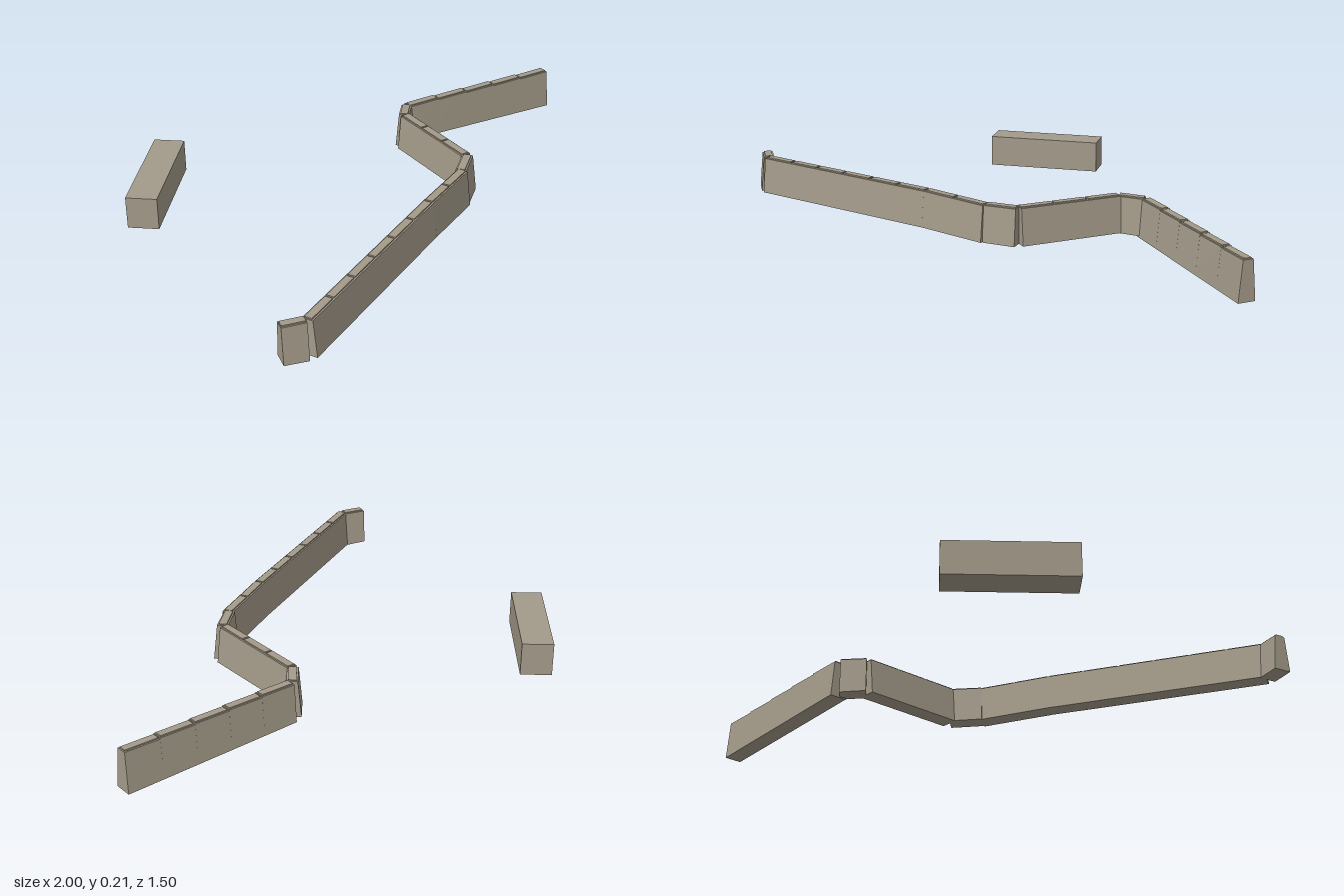
import * as THREE from 'three';

const stone = new THREE.MeshStandardMaterial({ color: 0xa39a89 });
stone.name = 'weathered stone';

// Prism between two plan points a and b, each [x, z, bottomY, topY],
// with a wide foot and a narrower head.
function prism(name, a, b, footWidth, headWidth) {
  const geometry = new THREE.BoxGeometry(1, 1, 1);
  const p = geometry.attributes.position;
  const dx = b[0] - a[0], dz = b[1] - a[1], length = Math.hypot(dx, dz);
  for (let i = 0; i < p.count; i++) {
    const t = p.getX(i) + 0.5, top = p.getY(i) > 0;
    const across = p.getZ(i) * (top ? headWidth : footWidth);
    const k = top ? 3 : 2;
    p.setXYZ(i,
      a[0] + dx * t - (dz / length) * across,
      a[k] + (b[k] - a[k]) * t,
      a[1] + dz * t + (dx / length) * across);
  }
  geometry.computeVertexNormals();
  const mesh = new THREE.Mesh(geometry, stone);
  mesh.name = name;
  return mesh;
}

const mix = (a, b, t) => a.map((v, i) => v + (b[i] - v) * t);
const CAP = 0.005;

// A run of battered wall sections, each with a narrow coping stone on top.
function wallRun(name, a, b, count, step = 0) {
  const run = new THREE.Group();
  run.name = name;
  for (let i = 0; i < count; i++) {
    const s = mix(a, b, i / count), e = mix(a, b, (i + 1) / count);
    // Stepped sections sit a little proud of the section downhill
    e[3] += step;
    const bodyStart = [s[0], s[1], s[2], s[3] - CAP];
    const bodyEnd = [e[0], e[1], e[2], e[3] - CAP];
    run.add(prism('wallSection', bodyStart, bodyEnd, 0.07, 0.042));
    const raise = (q) => [q[0], q[1], q[3] - CAP, q[3]];
    run.add(prism('copingStone', raise(mix(s, e, 0.03)), raise(mix(s, e, 0.97)), 0.03, 0.03));
  }
  return run;
}

export function createModel() {
  const model = new THREE.Group();
  model.name = 'stoneWall';

  // Wall from the front end round to the lower far end
  model.add(wallRun('endReturn', [-0.948, 0.695, 0.055, 0.2], [-0.86, 0.714, 0.052, 0.2], 1));
  model.add(wallRun('longWallOuter', [-0.855, 0.717, 0.053, 0.2], [-0.105, 0.308, 0.061, 0.207], 6));
  model.add(wallRun('longWallInner', [-0.105, 0.308, 0.061, 0.207], [0.145, 0.17, 0.054, 0.2], 2));
  model.add(wallRun('frontCorner', [0.138, 0.168, 0.054, 0.2], [0.232, 0.08, 0.052, 0.2], 1));
  model.add(wallRun('crossWall', [0.228, 0.072, 0.052, 0.2], [0.222, -0.345, 0.05, 0.197], 3));
  model.add(wallRun('backCorner', [0.22, -0.35, 0.05, 0.196], [0.283, -0.428, 0.042, 0.19], 1));
  model.add(wallRun('slopingWall', [0.289, -0.43, 0.038, 0.188], [1, -0.438, 0, 0.157], 5, 0.004));

  // Detached block
  model.add(prism('detachedBlock', [-0.951, -0.347, 0.04, 0.168], [-0.656, -0.713, 0.04, 0.168], 0.12, 0.12));

  return model;
}
